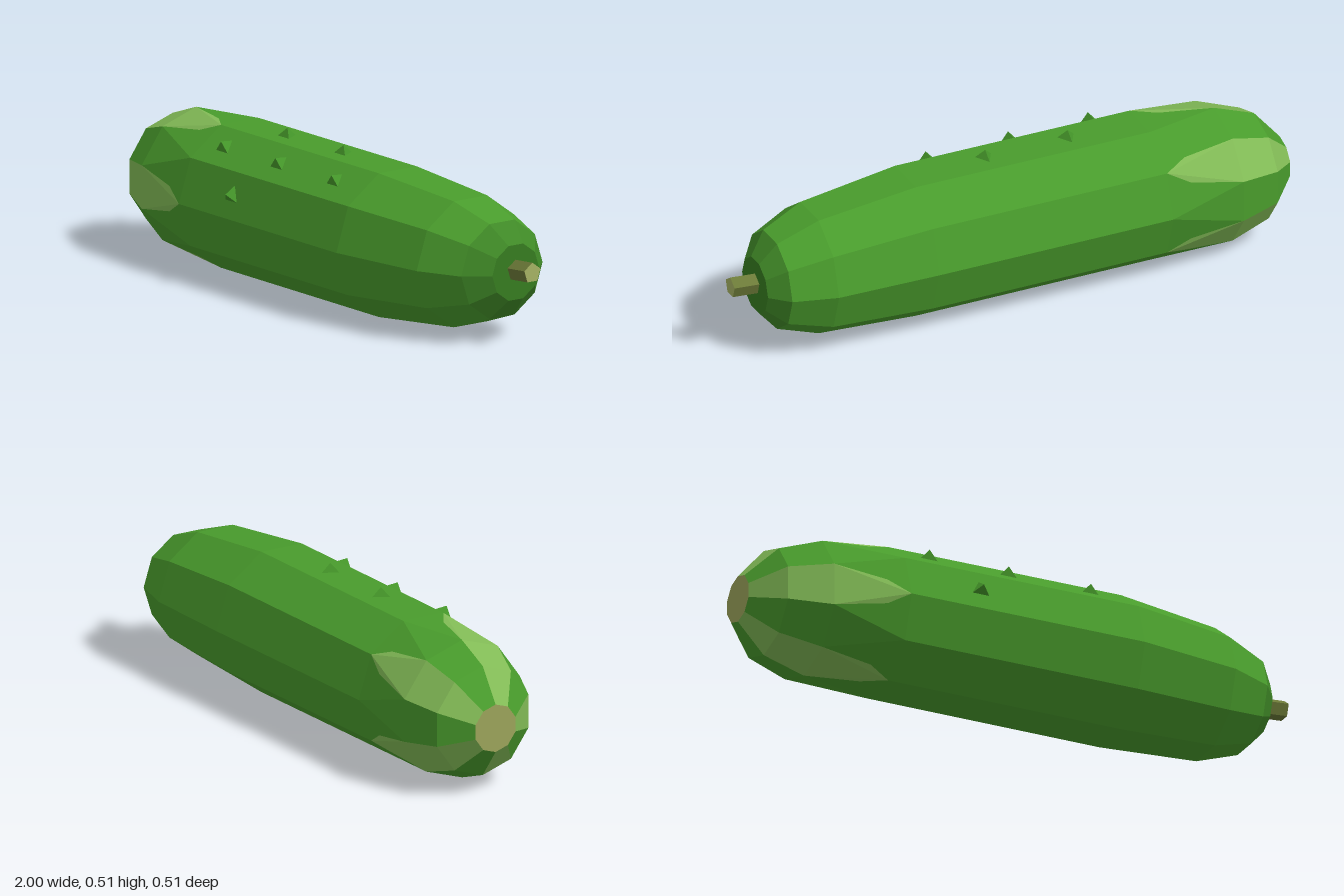
import * as THREE from 'three';

const SIDES = 10;
const STEP = (Math.PI * 2) / SIDES;
const CENTER_Y = 0.242;

const mat = (name, color) => {
  const m = new THREE.MeshStandardMaterial({ color, flatShading: true });
  m.name = name;
  return m;
};

// One ring of corners round the slightly bent long axis
function ring([x, radius, z], turn = 0) {
  return Array.from({ length: SIDES }, (_, k) => {
    const a = (k + turn) * STEP;
    return new THREE.Vector3(x, CENTER_Y + radius * Math.sin(a), z + radius * Math.cos(a));
  });
}

function meshFrom(name, points, material) {
  const g = new THREE.BufferGeometry().setFromPoints(points);
  g.computeVertexNormals();
  const mesh = new THREE.Mesh(g, material);
  mesh.name = name;
  return mesh;
}

export function createModel() {
  const group = new THREE.Group();
  group.name = 'cucumber';
  const skin = mat('skin green', 0x499c2c);
  const bumpGreen = mat('bump green', 0x449529);
  const mid = mat('shoulder green', 0x408a27);
  const dark = mat('dark end green', 0x367c20);
  const pale = mat('pale green', 0x82bb56);
  const blossomTan = mat('blossom tan', 0x9ca45a);
  const olive = mat('stem olive', 0x6c7a38);
  const cut = mat('cut stem', 0xa5b263);

  // x, radius, z of each ring; tip rings sit half a side out of step
  const tip = [[-1, 0.082, -0.045], [-0.91, 0.188, -0.036], [-0.77, 0.237, -0.025]]
    .map((r) => ring(r, -0.5));
  const body = [[-0.51, 0.253, -0.005], [0.34, 0.2545, 0], [0.7, 0.223, -0.022],
    [0.85, 0.168, -0.036], [0.91, 0.097, -0.047]].map((r) => ring(r));

  const green = [], streaks = [], blossom = [], shoulder = [], stemEnd = [];
  const quad = (out, a, b, k) => {
    const n = (k + 1) % SIDES;
    out.push(a[k], b[k], b[n], a[k], b[n], a[n]);
  };
  // Every second side of the tip carries a pale streak
  const colorOf = (k) => (k % 2 ? green : streaks);

  for (let k = 0; k < SIDES; k++) {
    const n = (k + 1) % SIDES;
    const out = colorOf(k);
    quad(out, tip[0], tip[1], k);
    quad(out, tip[1], tip[2], k);
    // Zigzag join, where each streak runs out
    out.push(tip[2][k], body[0][k], tip[2][n]);
    // Between streaks: a thin sliver rounds the streak's outline
    const p = tip[2][n], a = body[0][k], b = body[0][n];
    const [wa, wb] = k % 2 ? [0.14, 0.56] : [0.56, 0.14];
    const q = p.clone().multiplyScalar(0.3).addScaledVector(a, wa).addScaledVector(b, wb);
    colorOf(k).push(p, a, q);
    colorOf(n).push(p, q, b);
    green.push(q, a, b);
    // Long sides, darker shoulder and flat ends
    for (let i = 0; i < 3; i++) quad(green, body[i], body[i + 1], k);
    quad(shoulder, body[3], body[4], k);
    stemEnd.push(new THREE.Vector3(0.91, CENTER_Y, -0.047), body[4][n], body[4][k]);
    blossom.push(new THREE.Vector3(-1, CENTER_Y, -0.045), tip[0][k], tip[0][n]);
  }
  group.add(
    meshFrom('body', green, skin),
    meshFrom('tipStreaks', streaks, pale),
    meshFrom('blossomEnd', blossom, blossomTan),
    meshFrom('shoulder', shoulder, mid),
    meshFrom('stemEnd', stemEnd, dark),
  );

  // Five-sided stem with one corner up, tilted slightly upward, with a cut end
  const stemGeo = new THREE.CylinderGeometry(0.035, 0.035, 0.11, 5);
  stemGeo.rotateY(-Math.PI / 2).rotateZ(-Math.PI / 2);
  const pos = stemGeo.attributes.position;
  for (let i = 0; i < pos.count; i++) {
    pos.setY(i, pos.getY(i) + pos.getX(i) * 0.08);
  }
  stemGeo.computeVertexNormals();
  const stem = new THREE.Mesh(stemGeo, [olive, cut, olive]);
  stem.name = 'stem';
  stem.position.set(0.945, 0.252, -0.046);
  group.add(stem);

  // Three-sided bumps standing on the upper front faces: x, face angle from vertical
  const bumps = [[-0.25, 0], [0.05, 0], [-0.4, 36], [-0.11, 36], [0.19, 36], [-0.25, 72]];
  const bumpGeo = new THREE.ConeGeometry(0.035, 0.03, 3).rotateY(Math.PI);
  bumps.forEach(([x, deg]) => {
    const a = THREE.MathUtils.degToRad(deg);
    const bump = new THREE.Mesh(bumpGeo, bumpGreen);
    bump.name = 'bump';
    bump.rotation.x = a;
    bump.position.set(x, CENTER_Y + 0.255 * Math.cos(a), 0.255 * Math.sin(a));
    group.add(bump);
  });

  return group;
}
